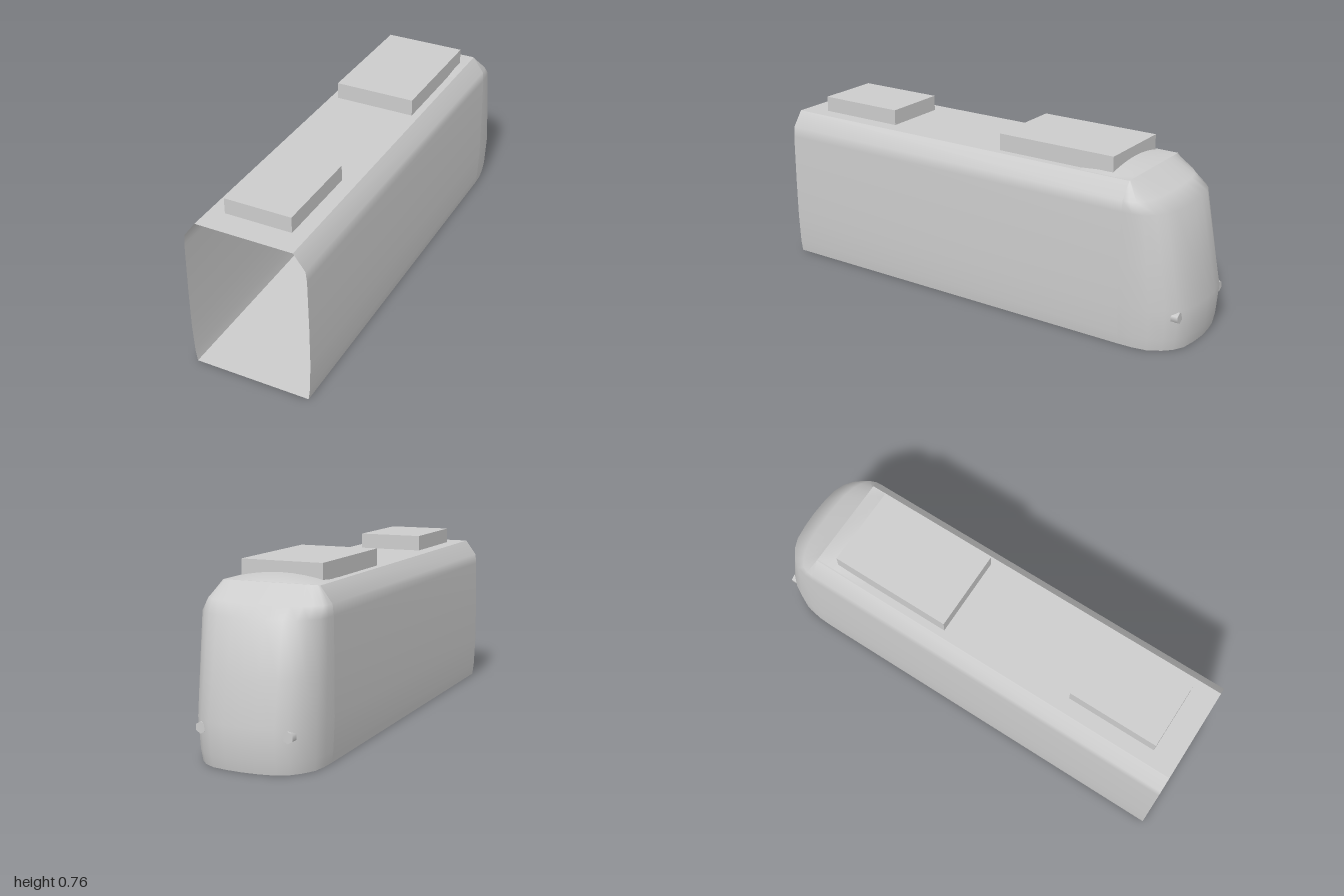
import * as THREE from 'three';

// Smooth surface through rows of points; all rows have the same length
function loft(rows) {
  const n = rows[0].length, index = [];
  for (let r = 0; r < rows.length - 1; r++) {
    for (let c = 0; c < n - 1; c++) {
      const a = r * n + c;
      index.push(a, a + 1, a + n, a + 1, a + n + 1, a + n);
    }
  }
  const geo = new THREE.BufferGeometry();
  geo.setAttribute('position', new THREE.Float32BufferAttribute(rows.flat(2), 3));
  geo.setIndex(index);
  geo.computeVertexNormals();
  return geo;
}

export function createModel() {
  const model = new THREE.Group();
  model.name = 'trainCar';
  const grey = new THREE.MeshStandardMaterial({ color: 0xcccccc, side: THREE.DoubleSide });
  grey.name = 'bodyGrey';

  function add(name, geo, x = 0, y = 0, z = 0) {
    const mesh = new THREE.Mesh(geo, grey);
    mesh.name = name;
    mesh.position.set(x, y, z);
    model.add(mesh);
    return mesh;
  }

  const OPEN = 1, JOIN = -0.73, ROOF = 0.687;

  // Levels of the shell: height, half width, foremost z of the nose
  const levels = [
    [0, 0.255, -0.98], [0.05, 0.262, -0.99], [0.18, 0.268, -1], [0.36, 0.268, -0.961],
    [0.575, 0.265, -0.915], [0.62, 0.26, -0.841], [ROOF, 0.21, JOIN],
  ];

  // Side walls with the bevel up to the roof
  for (const s of [1, -1]) {
    const ends = s > 0 ? [OPEN, JOIN] : [JOIN, OPEN];
    add(s > 0 ? 'leftWall' : 'rightWall',
      loft(levels.map(([y, w]) => ends.map(z => [s * w, y, z]))));
  }

  // Rounded nose: one U-shaped outline per level, as (share of width, share of depth)
  const half = [[1, 0], [0.99, 0.25], [0.95, 0.49], [0.83, 0.7], [0.7, 0.84], [0.52, 0.94], [0.26, 0.985]];
  const outline = [...half, [0, 1], ...half.map(([u, t]) => [-u, t]).reverse()];
  const ring = ([y, w, front]) => outline.map(([u, t]) => [u * w, y, JOIN + t * (front - JOIN)]);
  add('nose', loft(levels.map(ring)));

  // Flat roof
  add('roof', new THREE.PlaneGeometry(0.42, OPEN - JOIN).rotateX(-Math.PI / 2),
    0, ROOF, (OPEN + JOIN) / 2);

  // Floor, following the nose outline
  const w0 = levels[0][1];
  const floorPoints = [[w0, 0, OPEN], ...ring(levels[0]), [-w0, 0, OPEN]]
    .map(([x, , z]) => new THREE.Vector2(x, z));
  add('floor', new THREE.ShapeGeometry(new THREE.Shape(floorPoints)).rotateX(Math.PI / 2));

  // Low domed fairing between the nose and the large roof unit
  const across = [1, 0.75, 0.5, 0.25, 0, -0.25, -0.5, -0.75, -1];
  add('roofFairing', loft([[JOIN, 0], [-0.64, 0.027], [-0.5, 0]].map(([z, h]) =>
    across.map(u => [-u * 0.205, ROOF + 0.001 + h * (1 - u * u), z]).reverse())));

  // Roof units
  add('largeRoofUnit', new THREE.BoxGeometry(0.356, 0.073, 0.54), 0, 0.7235, -0.37);
  add('smallRoofUnit', new THREE.BoxGeometry(0.29, 0.068, 0.4), 0, 0.721, 0.69);

  // Small six-sided lamps set into the nose
  for (const s of [1, -1]) {
    add(s > 0 ? 'leftLamp' : 'rightLamp',
      new THREE.CylinderGeometry(0.024, 0.024, 0.03, 6).rotateX(Math.PI / 2), s * 0.185, 0.15, -0.95);
  }
  return model;
}
